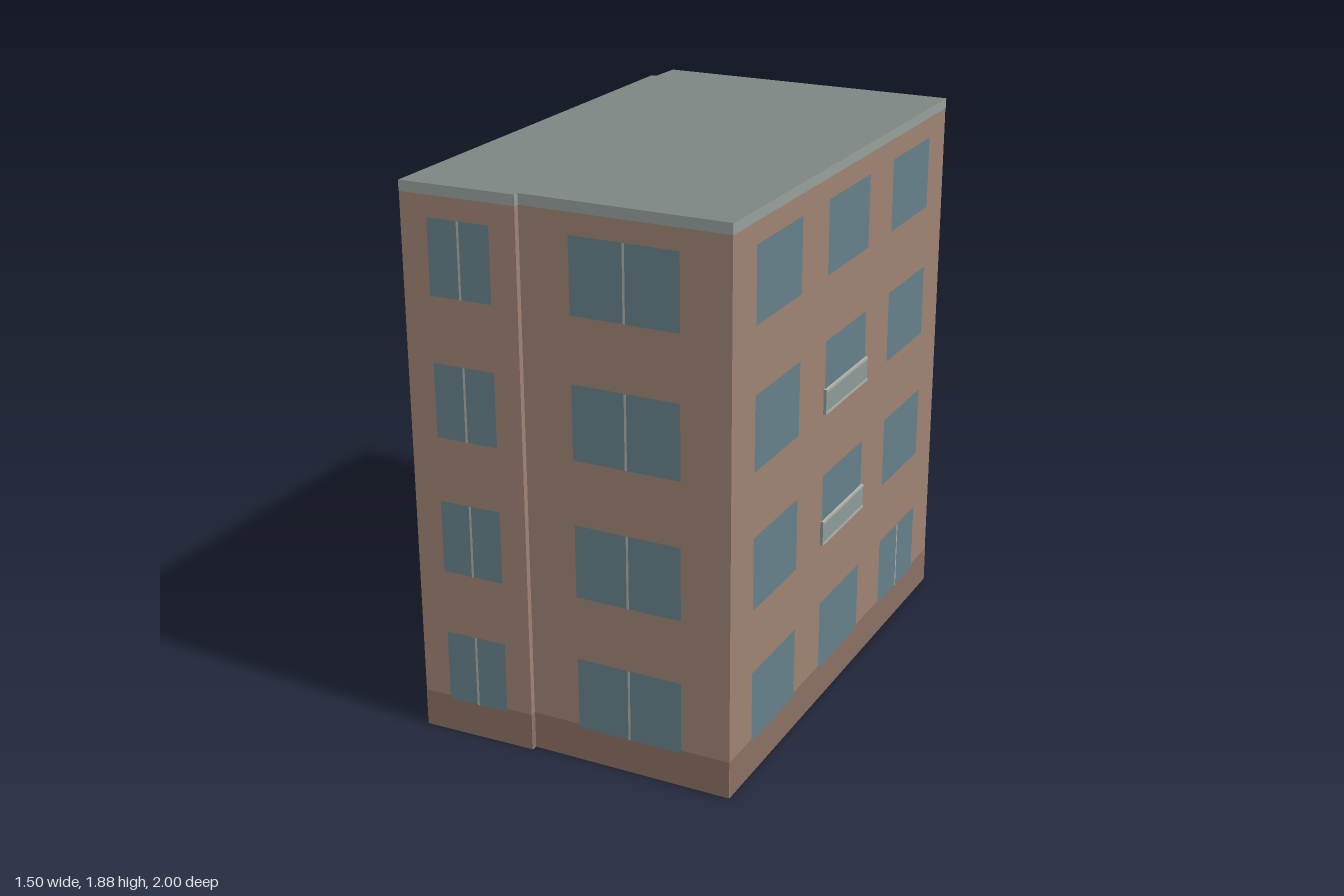
import * as THREE from 'three';

const material = (color, side = THREE.FrontSide) => new THREE.MeshStandardMaterial({ color, side });

export function createModel() {
  const group = new THREE.Group();
  const brick = material(0x9e8373, THREE.DoubleSide);
  const plinthMat = material(0x8a6f63);
  const trimMat = material(0x969f9a);
  const roofMat = material(0x7d8682, THREE.DoubleSide);
  const glass = material(0x66808a);
  const frameMat = material(0xb0b0a6);
  const railMat = material(0x8d9a98);

  const height = 1.885;
  const floors = [0.12, 0.59, 1.06, 1.53];
  const windowHeight = 0.25;

  // Footprint corners (x, z), running front, right, back, left
  const plan = [
    [-0.3, 0.998], [0.08, 0.875], [0.075, 0.856], [0.75, 0.657],
    [0.28, -1], [-0.75, -0.693], [-0.722, -0.576], [-0.74, -0.568],
  ];

  // One wall plane as a group: local x along the wall, y up, z outward
  function makeWall(i) {
    const [x0, z0] = plan[i];
    const [x1, z1] = plan[(i + 1) % plan.length];
    const wall = new THREE.Group();
    wall.position.set(x0, 0, z0);
    wall.rotation.y = Math.atan2(z0 - z1, x1 - x0);
    wall.userData.length = Math.hypot(x1 - x0, z1 - z0);
    group.add(wall);
    return wall;
  }

  // Flat panel between fractions t0..t1 of the wall length
  function panel(wall, name, t0, t1, y0, y1, out, mat) {
    const len = wall.userData.length;
    const mesh = new THREE.Mesh(new THREE.PlaneGeometry((t1 - t0) * len, y1 - y0), mat);
    mesh.position.set((t0 + t1) / 2 * len, (y0 + y1) / 2, out);
    mesh.name = name;
    wall.add(mesh);
  }

  function bar(wall, name, t0, t1, y0, y1, depth, mat) {
    const len = wall.userData.length;
    const mesh = new THREE.Mesh(new THREE.BoxGeometry((t1 - t0) * len, y1 - y0, depth), mat);
    mesh.position.set((t0 + t1) / 2 * len, (y0 + y1) / 2, depth / 2);
    mesh.name = name;
    wall.add(mesh);
  }

  function addWindow(wall, t0, t1, y, mullion) {
    panel(wall, 'window', t0, t1, y, y + windowHeight, 0.003, glass);
    if (!mullion) return;
    const mid = (t0 + t1) / 2;
    const half = 0.004 / wall.userData.length;
    panel(wall, 'mullion', mid - half, mid + half, y, y + windowHeight, 0.0045, frameMat);
  }

  // Shallow balcony front with a rail above and below
  function addBalcony(wall, t0, t1, y) {
    bar(wall, 'balconyPanel', t0, t1, y, y + 0.085, 0.01, railMat);
    bar(wall, 'balconyBottomRail', t0, t1, y, y + 0.008, 0.012, frameMat);
    bar(wall, 'balconyTopRail', t0, t1, y + 0.077, y + 0.086, 0.012, frameMat);
  }

  // Wall shells with plinth and roof trim
  const names = ['frontLeftBay', 'frontStep', 'frontRightBay', 'rightWall',
    'backWall', 'leftReturn', 'leftStep', 'leftWall'];
  const walls = {};
  names.forEach((name, i) => {
    const wall = walls[name] = makeWall(i);
    wall.name = name;
    panel(wall, 'wallFace', 0, 1, 0, height, 0, brick);
    panel(wall, 'plinth', 0, 1, 0, 0.13, 0.0015, plinthMat);
    panel(wall, 'roofTrim', 0, 1, 1.85, height, 0.0015, trimMat);
  });

  // Windows: [wall, openings, mullioned on every floor]
  const openings = [
    ['frontLeftBay', [[0.237, 0.776]], true],
    ['frontRightBay', [[0.24, 0.763]], true],
    ['backWall', [[0.223, 0.777]], true],
    ['rightWall', [[0.09, 0.281], [0.399, 0.595], [0.713, 0.909]], false],
    ['leftWall', [[0.086, 0.28], [0.393, 0.59], [0.708, 0.9]], false],
  ];
  for (const [name, spans, mullioned] of openings) {
    floors.forEach((y, floor) => spans.forEach(([t0, t1], i) => {
      // Side walls have one split opening, at ground level
      addWindow(walls[name], t0, t1, y, mullioned || (floor === 0 && i === 2));
    }));
  }

  // Balconies on the two middle floors
  for (const y of [floors[1], floors[2]]) {
    addBalcony(walls.rightWall, 0.397, 0.599, y);
    addBalcony(walls.leftWall, 0.086, 0.285, y);
  }

  // Flat roof
  const outline = new THREE.Shape(plan.map(([x, z]) => new THREE.Vector2(x, -z)));
  const roof = new THREE.Mesh(new THREE.ShapeGeometry(outline).rotateX(-Math.PI / 2), roofMat);
  roof.position.y = height;
  roof.name = 'roof';
  group.add(roof);

  return group;
}
